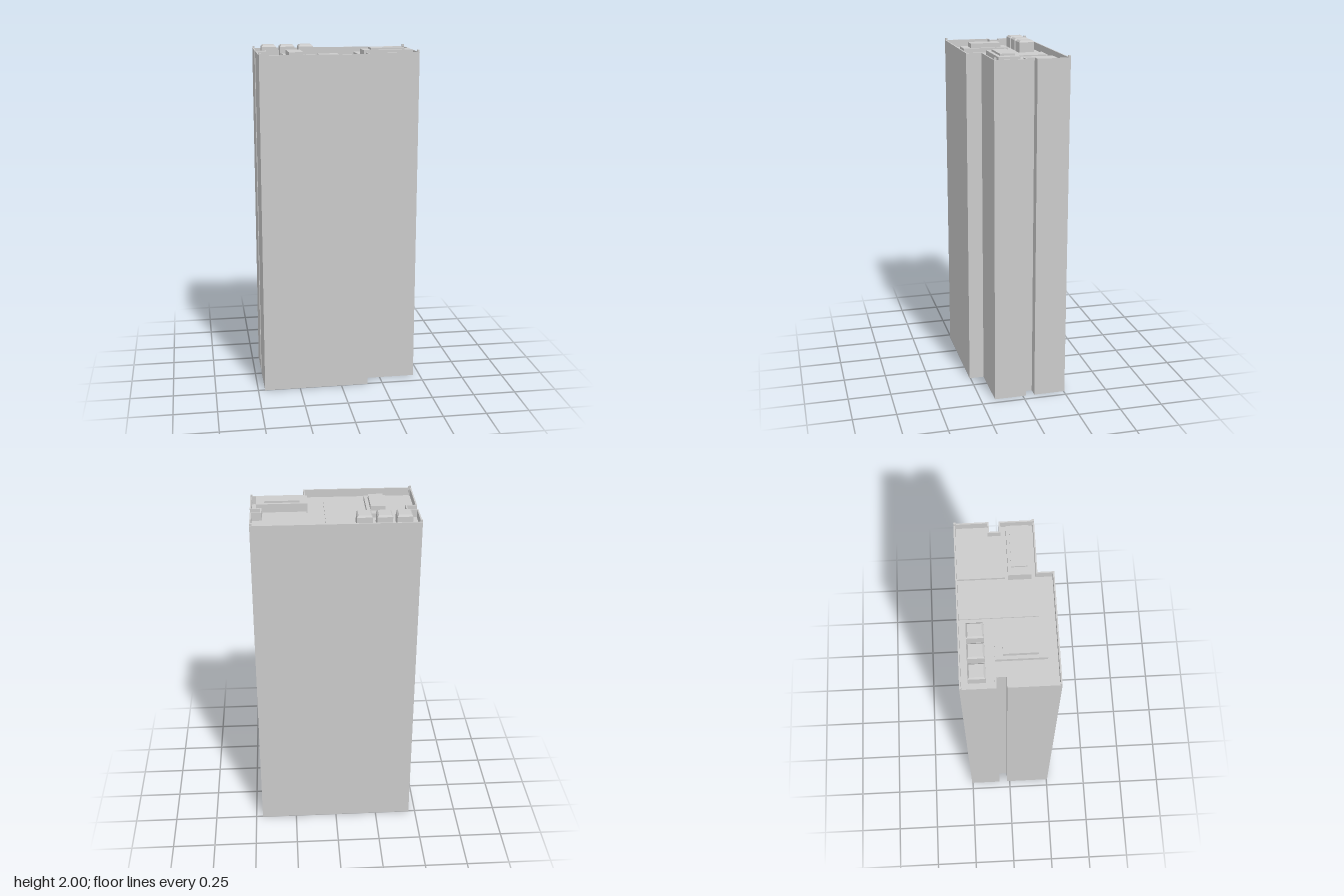
import * as THREE from 'three';

const DECK = 1.93, WALL_TOP = 1.975;
const material = new THREE.MeshStandardMaterial({ color: 0xcccccc, flatShading: true });

// Plan corners (x, z), counter-clockwise from above, inset by t
function outline(t) {
  return [
    [-0.46 + t, 0.255 - t], [0.16 - t, 0.255 - t], [0.16 - t, 0.168 - t], [0.46 - t, 0.168 - t],
    [0.46 - t, -0.018 + t], [0.403 - t, -0.018 + t], [0.403 - t, -0.07 - t], [0.46 - t, -0.07 - t],
    [0.46 - t, -0.255 + t], [-0.46 + t, -0.255 + t], [-0.46 + t, -0.07 - t], [-0.403 + t, -0.07 - t],
    [-0.403 + t, -0.018 + t], [-0.46 + t, -0.018 + t],
  ].map(([x, z]) => new THREE.Vector2(x, -z));
}

// Upright prism from a plan shape
function prism(shape, y0, y1) {
  const g = new THREE.ExtrudeGeometry(shape, { depth: y1 - y0, bevelEnabled: false });
  return g.rotateX(-Math.PI / 2).translate(0, y0, 0);
}

// Box given by its limits
function block(x0, x1, y0, y1, z0, z1) {
  return new THREE.BoxGeometry(x1 - x0, y1 - y0, z1 - z0)
    .translate((x0 + x1) / 2, (y0 + y1) / 2, (z0 + z1) / 2);
}

export function createModel() {
  const model = new THREE.Group();
  const add = (name, geometry, parent = model) => {
    const mesh = new THREE.Mesh(geometry, material);
    mesh.name = name;
    parent.add(mesh);
  };
  const group = (name) => {
    const g = new THREE.Group();
    g.name = name;
    model.add(g);
    return g;
  };

  // Tower with a notch in each side, and the parapet around the sunken roof
  add('tower', prism(new THREE.Shape(outline(0)), 0, DECK));
  const rim = new THREE.Shape(outline(0));
  rim.holes.push(new THREE.Path(outline(0.008)));
  add('parapet', prism(rim, DECK, WALL_TOP));

  // Small posts on the outer corners
  const posts = group('cornerPosts');
  for (const [x, z] of [[-0.453, -0.248], [0.453, -0.248], [0.453, 0.161], [-0.453, 0.248]])
    add('cornerPost', block(x - 0.006, x + 0.006, DECK, 1.987, z - 0.006, z + 0.006), posts);

  // Low slabs on the roof
  add('middleRoofSlab', block(-0.07, 0.05, DECK, 1.938, -0.247, 0.163));
  add('rearRoofSlab', block(0.15, 0.392, DECK, 1.945, -0.247, 0));

  // Two stepped roof housings
  const left = group('leftHousing');
  add('housingBase', block(0.143, 0.427, DECK, 1.986, 0.017, 0.137), left);
  add('housingTop', block(0.187, 0.382, 1.986, 1.997, 0.034, 0.117), left);
  const right = group('rightHousing');
  add('housingBase', block(-0.303, -0.182, DECK, 1.955, -0.072, 0.195), right);
  add('housingTop', block(-0.284, -0.202, 1.955, 1.981, -0.03, 0.15), right);

  // Row of three roof units with bevelled caps
  const units = group('roofUnits');
  for (const x of [-0.372, -0.264, -0.155]) {
    add('unitBody', block(x - 0.042, x + 0.042, DECK, 1.99, -0.212, -0.122), units);
    const cap = new THREE.CylinderGeometry(0.034 * Math.SQRT2, 0.042 * Math.SQRT2, 0.01, 4, 1)
      .rotateY(Math.PI / 4).scale(1, 1, 1.07).translate(x, 1.995, -0.167);
    add('unitCap', cap, units);
  }
  return model;
}
